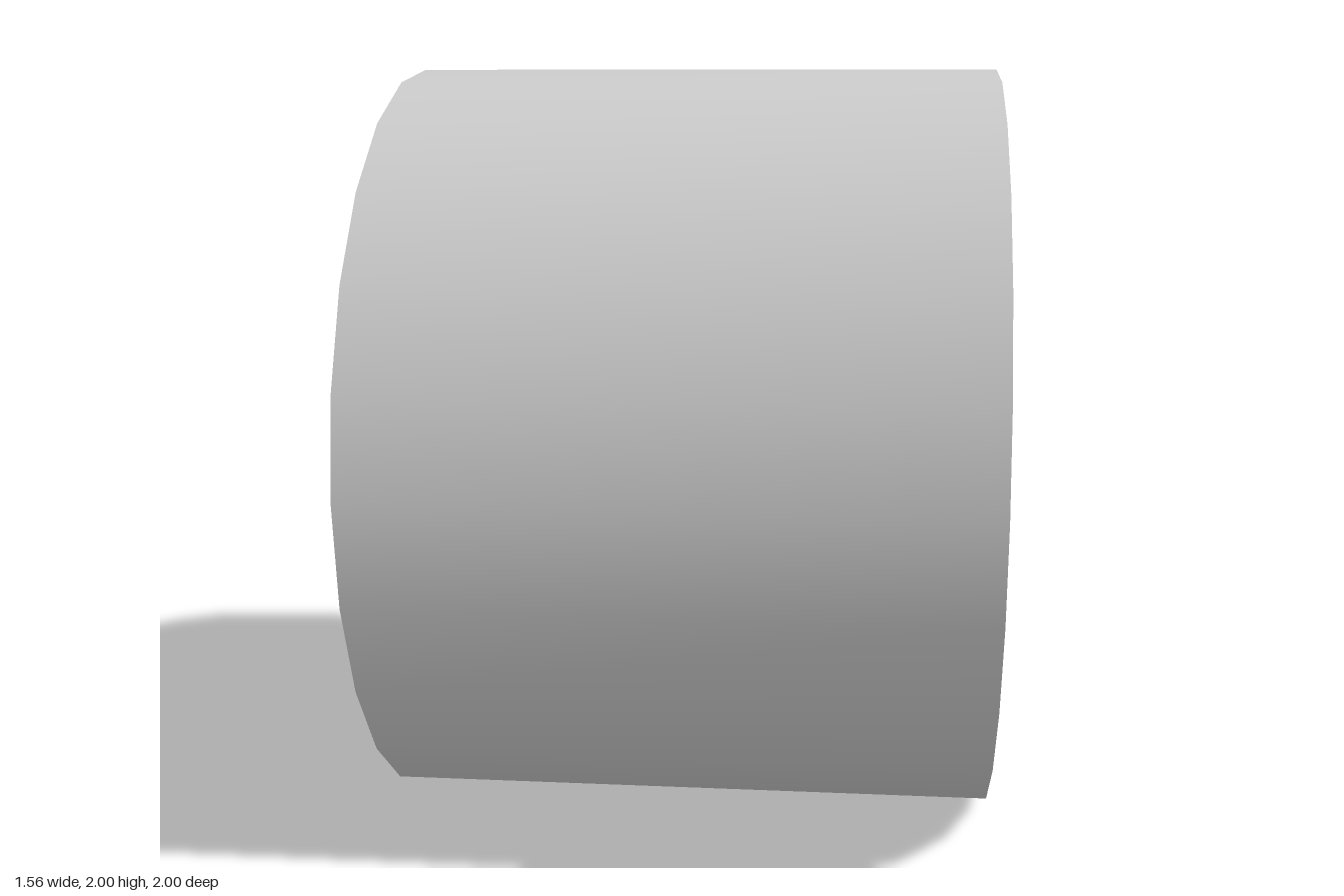
import * as THREE from 'three';
import { toCreasedNormals } from 'three/addons/utils/BufferGeometryUtils.js';

const SIDES = 24;
const HALF = 0.78;    // half the width along x
const FLOOR = 0.43;   // x of the recessed end faces
const INNER = 0.81;   // recess radius

const profile = (pairs) => pairs.map(([r, h]) => new THREE.Vector2(r, h));

export function createModel() {
  const model = new THREE.Group();
  model.name = 'wheel';
  const material = new THREE.MeshStandardMaterial({ color: 0xcccccc });

  // Drum with a flat rim and a recessed face at each end
  const drumGeometry = new THREE.LatheGeometry(profile([
    [0, -FLOOR], [INNER, -FLOOR], [INNER, -HALF], [1, -HALF],
    [1, HALF], [INNER, HALF], [INNER, FLOOR], [0, FLOOR],
  ]), SIDES);
  const drum = new THREE.Mesh(toCreasedNormals(drumGeometry, 0.6), material);
  drum.name = 'drum';
  drum.rotation.z = -Math.PI / 2;
  drum.position.y = 1;
  model.add(drum);

  // Rounded hub cap, one in each recess
  const capGeometry = new THREE.LatheGeometry(profile([
    [0.37, -0.02], [0.37, 0.11], [0.36, 0.15], [0.335, 0.18], [0.29, 0.197], [0, 0.205],
  ]), SIDES, Math.PI / SIDES);
  for (const side of [1, -1]) {
    const cap = new THREE.Mesh(capGeometry, material);
    cap.name = side > 0 ? 'leftHubCap' : 'rightHubCap';
    cap.rotation.z = -side * Math.PI / 2;
    cap.position.set(side * FLOOR, 1, 0);
    model.add(cap);
  }
  return model;
}
